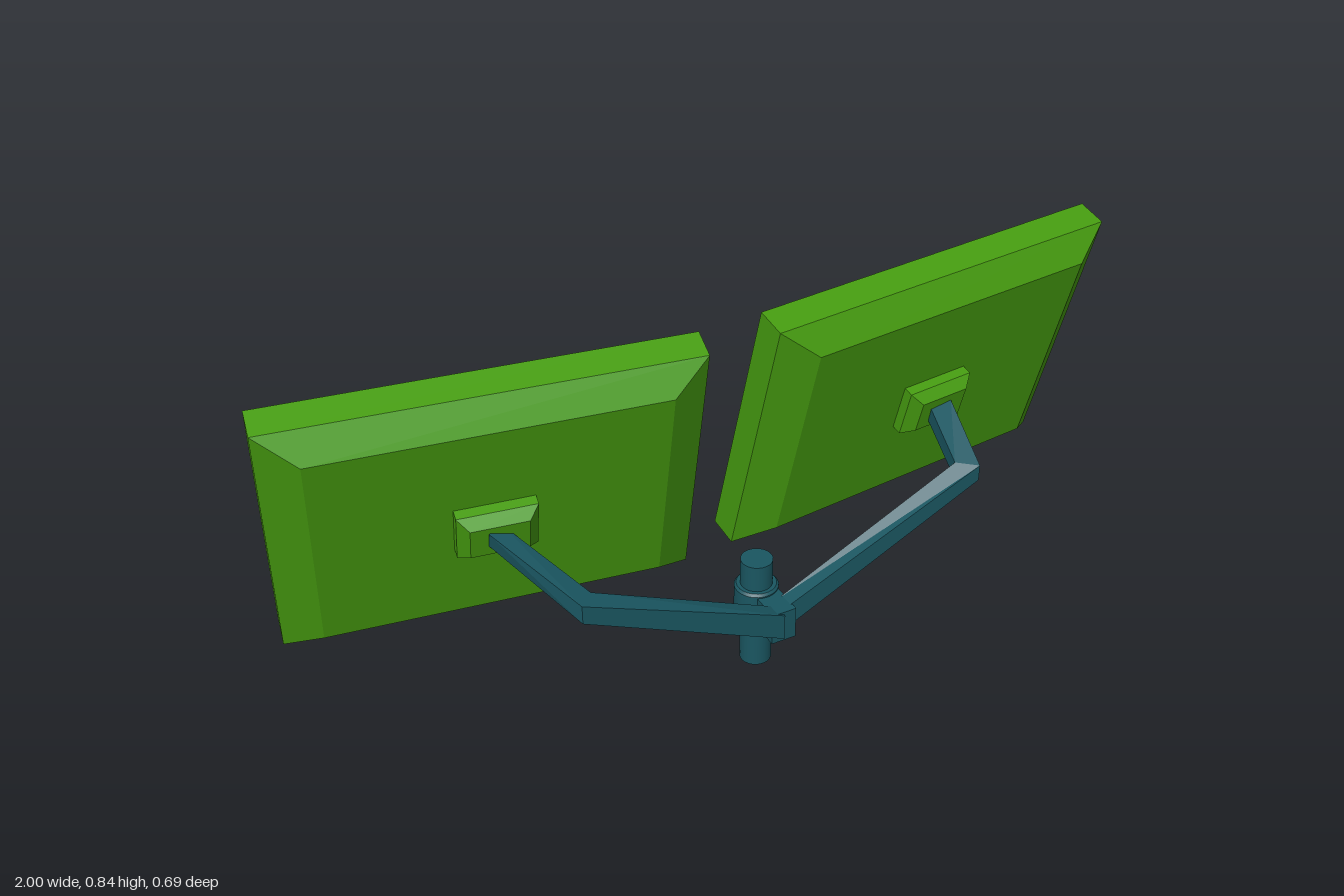
import * as THREE from 'three';

const V = (x, y, z) => new THREE.Vector3(x, y, z);
const paint = (color, flatShading = true) => new THREE.MeshStandardMaterial({ color, flatShading });
const green = paint(0x469c10);
const teal = paint(0x1a5661);
const cyan = paint(0x60c4c4);

// Skin a row of four-cornered rings, closing the chosen ends.
function loft(rings, capStart, capEnd) {
  const pos = [];
  const quad = (a, b, c, d) => [a, b, c, a, c, d].forEach(p => pos.push(p.x, p.y, p.z));
  for (let i = 0; i < rings.length - 1; i++) {
    for (let k = 0; k < 4; k++) {
      const n = (k + 1) % 4;
      quad(rings[i][k], rings[i][n], rings[i + 1][n], rings[i + 1][k]);
    }
  }
  const s = rings[0], e = rings[rings.length - 1];
  if (capStart) quad(s[3], s[2], s[1], s[0]);
  if (capEnd) quad(e[0], e[1], e[2], e[3]);
  const g = new THREE.BufferGeometry();
  g.setAttribute('position', new THREE.Float32BufferAttribute(pos, 3));
  g.computeVertexNormals();
  return g;
}

// Upright rectangle by half width, half height and depth.
const rect = (w, h, z) => [V(-w, -h, z), V(w, -h, z), V(w, h, z), V(-w, h, z)];

function add(parent, name, geometry, material) {
  const mesh = new THREE.Mesh(geometry, material);
  mesh.name = name;
  parent.add(mesh);
  return mesh;
}

// Tilted display panel: bevelled housing, recessed screen, mounting plate.
function makePanel(name, x, z, yaw) {
  const panel = new THREE.Group();
  panel.name = name;
  add(panel, 'housing', loft([
    rect(0.437, 0.307, -0.058), rect(0.437, 0.307, -0.072),
    rect(0.465, 0.337, -0.072), rect(0.465, 0.337, 0),
    rect(0.38, 0.277, 0.05),
  ], false, true), green);
  const screen = add(panel, 'screen', new THREE.PlaneGeometry(0.874, 0.614), cyan);
  screen.rotation.y = Math.PI;
  screen.position.z = -0.058;
  add(panel, 'mountingPlate', loft([
    rect(0.088, 0.063, 0.045), rect(0.088, 0.063, 0.074), rect(0.064, 0.042, 0.098),
  ], true, true), green);
  panel.position.set(x, 0.495, z);
  panel.rotation.set(Math.PI / 12, yaw, 0, 'YXZ');
  return panel;
}

// Bent bar: each node is a centre with two half-extent vectors a and b.
function makeArm(nodes) {
  const along = nodes[1][0].clone().sub(nodes[0][0]);
  const flip = nodes[0][1].clone().cross(nodes[0][2]).dot(along) < 0 ? -1 : 1;
  return loft(nodes.map(([c, a, b]) => [[-1, -1], [1, -1], [1, 1], [-1, 1]].map(
    ([i, j]) => c.clone().addScaledVector(a, i * flip).addScaledVector(b, j))), true, true);
}

export function createModel() {
  const model = new THREE.Group();
  model.name = 'twinPanelStand';

  // Post and chamfered collar
  const post = new THREE.Group();
  post.name = 'post';
  post.position.set(0.038, 0, 0.177);
  const smoothTeal = paint(0x1a5661, false);
  add(post, 'pole', new THREE.CylinderGeometry(0.037, 0.037, 0.28, 24), smoothTeal).position.y = 0.14;
  const collar = [[0.036, 0.112], [0.046, 0.112], [0.051, 0.118], [0.051, 0.208], [0.046, 0.214], [0.036, 0.214]];
  // Separate bands keep the collar edges crisp
  for (let i = 0; i < collar.length - 1; i++) {
    add(post, 'collar', new THREE.LatheGeometry(
      [collar[i], collar[i + 1]].map(p => new THREE.Vector2(...p)), 24), smoothTeal);
  }
  model.add(post);

  // Bracket joining the collar to both arms
  const bracket = add(model, 'bracket', new THREE.BoxGeometry(0.06, 0.08, 0.09), teal);
  bracket.position.set(0.056, 0.165, 0.245);
  bracket.rotation.y = 0.15;

  // Arms
  add(model, 'leftArm', makeArm([
    [V(0.06, 0.165, 0.254), V(0.003, 0, 0.018), V(0, 0.03, 0)],
    [V(0.543, 0.405, 0.182), V(0.024, 0, 0.015), V(0, 0.02, 0)],
    [V(0.548, 0.473, 0.008), V(0.028, 0, 0), V(0, 0.018, 0.007)],
  ]), teal);
  add(model, 'rightArm', makeArm([
    [V(0.06, 0.165, 0.276), V(0.003, 0, 0.018), V(0, 0.033, 0)],
    [V(-0.393, 0.362, 0.321), V(-0.015, 0, 0.02), V(0, 0.023, 0)],
    [V(-0.542, 0.476, 0.162), V(-0.016, 0, 0.014), V(0, 0.02, 0.007)],
  ]), teal);

  // Panels
  model.add(makePanel('leftPanel', 0.527, -0.075, Math.PI / 12));
  model.add(makePanel('rightPanel', -0.533, 0.078, 0));
  return model;
}
